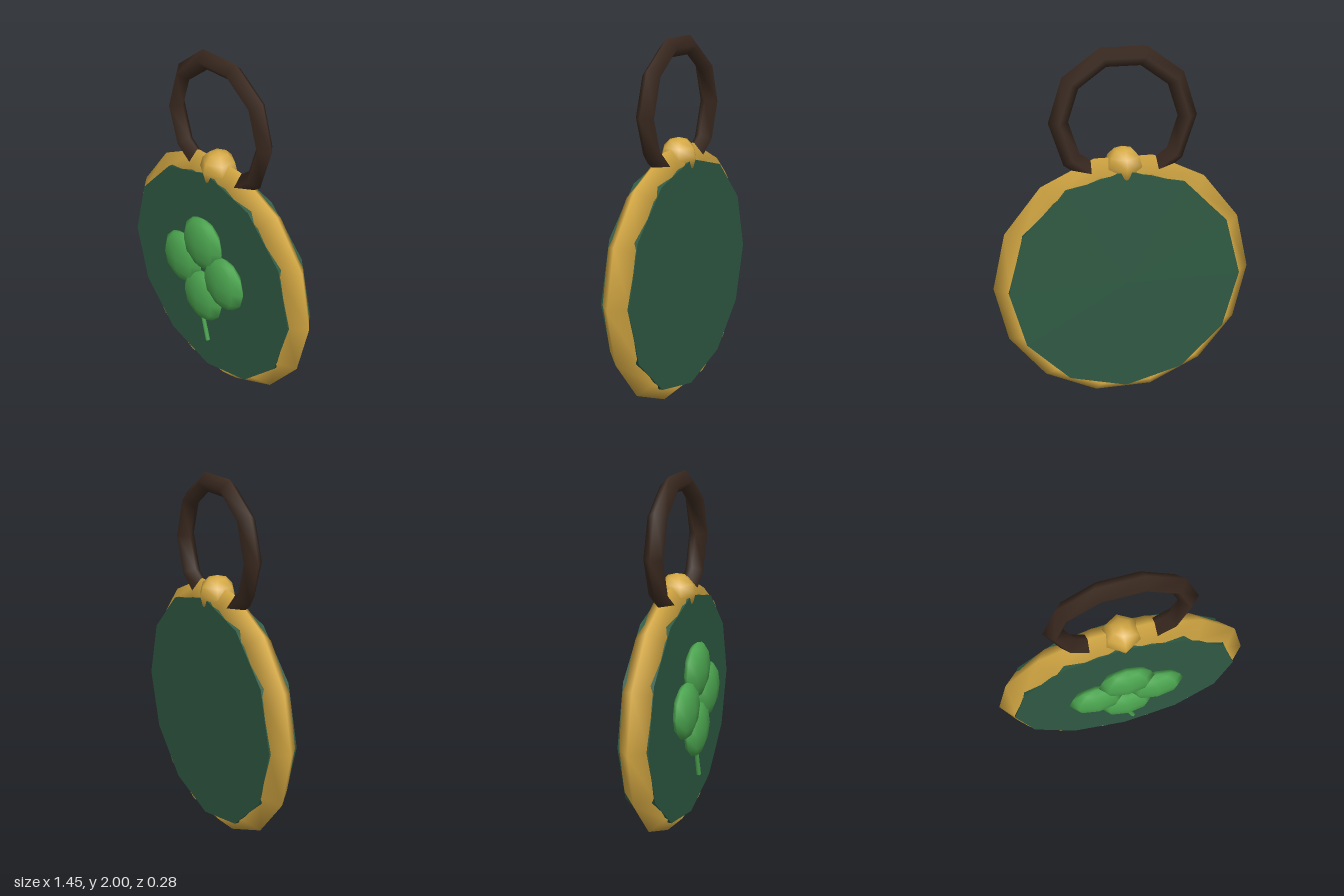
import * as THREE from 'three';

export function createModel() {
  const mat = (name, color) => Object.assign(new THREE.MeshStandardMaterial({ color }), { name });
  const gold = mat('gold', 0xd4a843);
  const enamel = mat('dark green enamel', 0x2f5a43);
  const leafGreen = mat('leaf green', 0x4ca650);
  const leather = mat('dark brown', 0x3b2a20);

  const model = new THREE.Group();
  model.name = 'cloverCharm';
  const add = (name, geometry, material, x, y, z, parent = model) => {
    const mesh = new THREE.Mesh(geometry, material);
    mesh.name = name;
    mesh.position.set(x, y, z);
    parent.add(mesh);
    return mesh;
  };

  const midY = 0.706, midZ = -0.035;

  // Medallion: enamel disc held in a faceted gold rim
  add('disc', new THREE.CylinderGeometry(0.65, 0.65, 0.168, 12).rotateX(Math.PI / 2), enamel, 0, midY, midZ);
  add('rim', new THREE.TorusGeometry(0.643, 0.081, 4, 14), gold, 0, midY, midZ);

  // Hanging ring and the bead that joins it to the rim
  add('hangingRing', new THREE.TorusGeometry(0.347, 0.053, 4, 10), leather, 0, 1.62, midZ);
  add('bead', new THREE.SphereGeometry(0.105, 6, 6).rotateY(Math.PI / 6), gold, 0, 1.364, midZ);

  // Four flattened leaves around a centre, plus a slanted stem
  const clover = new THREE.Group();
  clover.name = 'clover';
  clover.position.set(0, 0.756, 0.08);
  model.add(clover);
  const leaf = new THREE.SphereGeometry(0.16, 8, 6).scale(1, 1, 0.36);
  for (const [name, x, y] of [['topLeaf', 0, 1], ['bottomLeaf', 0, -1], ['leftLeaf', 1, 0], ['rightLeaf', -1, 0]]) {
    add(name, leaf, leafGreen, x * 0.175, y * 0.175, 0, clover);
  }
  const stem = add('stem', new THREE.CylinderGeometry(0.012, 0.014, 0.24, 6), leafGreen, 0.009, -0.36, 0, clover);
  stem.rotation.z = 0.27;

  return model;
}
